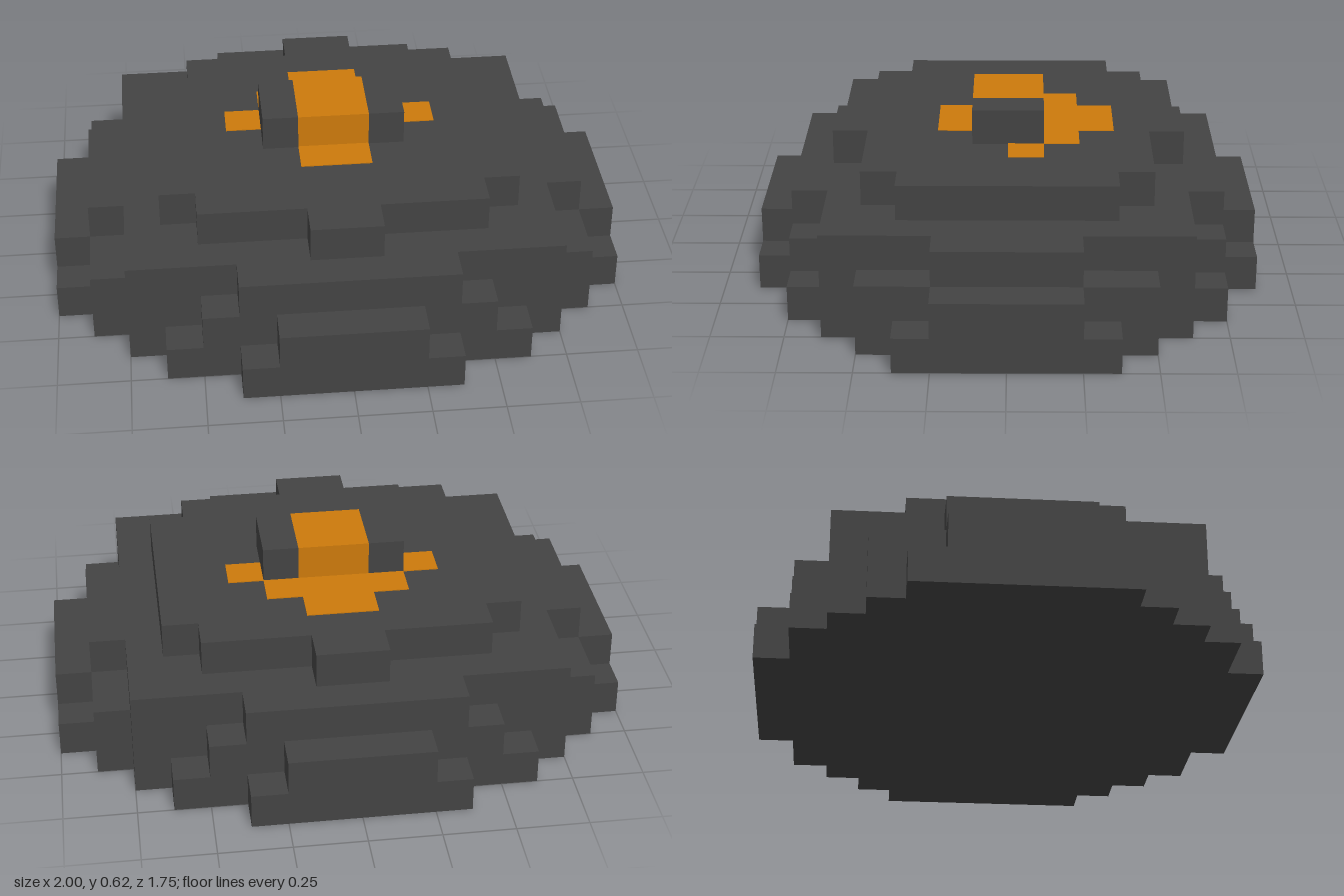
import * as THREE from 'three';

const U = 0.125; // one block

const stone = new THREE.MeshStandardMaterial({ color: 0x434343 });
stone.name = 'darkStone';
const orange = new THREE.MeshStandardMaterial({ color: 0xcc7a0c });
orange.name = 'orange';

// Each tier is one block high: [half depth, half width] steps, widest first
const tiers = [
  ['baseTier', [[3, 8], [4, 7], [5, 6], [6, 5], [7, 3]]],
  ['lowerTier', [[2, 8], [4, 7], [5, 6], [6, 4], [7, 2]]],
  ['middleTier', [[2, 7], [5, 6], [6, 3]]],
  ['upperTier', [[3, 5], [4, 4], [5, 1]]],
];

// Stepped outline, symmetric in x and z
function steppedShape(steps) {
  const quarter = [];
  let depth = 0;
  for (const [d, w] of steps) {
    if (depth > 0) quarter.push([w, depth]);
    quarter.push([w, d]);
    depth = d;
  }
  const back = [...quarter].reverse();
  const outline = [
    ...quarter,
    ...back.map(([x, y]) => [-x, y]),
    ...quarter.map(([x, y]) => [-x, -y]),
    ...back.map(([x, y]) => [x, -y]),
  ];
  return new THREE.Shape(outline.map(([x, y]) => new THREE.Vector2(x * U, y * U)));
}

// Box from block-unit limits in x and z, with y in model units
function block(name, x0, x1, z0, z1, y0, height, material) {
  const geometry = new THREE.BoxGeometry((x1 - x0) * U, height, (z1 - z0) * U);
  const mesh = new THREE.Mesh(geometry, material);
  mesh.position.set((x0 + x1) / 2 * U, y0 + height / 2, (z0 + z1) / 2 * U);
  mesh.name = name;
  return mesh;
}

export function createModel() {
  const model = new THREE.Group();
  model.name = 'steppedMound';

  // Stacked tiers
  tiers.forEach(([name, steps], i) => {
    const geometry = new THREE.ExtrudeGeometry(steppedShape(steps), { depth: U, bevelEnabled: false });
    geometry.rotateX(-Math.PI / 2);
    const tier = new THREE.Mesh(geometry, stone);
    tier.position.y = i * U;
    tier.name = name;
    model.add(tier);
  });

  // Raised bar on top, orange in the middle
  const top = tiers.length * U;
  const bar = new THREE.Group();
  bar.name = 'topBar';
  bar.add(
    block('barRightEnd', -2, -1, -1, 1, top, U, stone),
    block('barMiddle', -1, 1, -1, 1, top, U, orange),
    block('barLeftEnd', 1, 2, -1, 1, top, U, stone),
  );
  model.add(bar);

  // Flat orange patches around the bar
  const patches = new THREE.Group();
  patches.name = 'orangePatches';
  for (const [name, x0, x1, z0, z1] of [
    ['rearPatch', -1, 1, -3, -2],
    ['widePatch', -2, 2, -2, -1],
    ['rightPatch', -3, -2, -1, 0],
    ['leftPatch', 2, 3, -1, 0],
    ['frontPatch', -1, 1, 1, 2],
  ]) patches.add(block(name, x0, x1, z0, z1, top, 0.003, orange));
  model.add(patches);

  return model;
}
